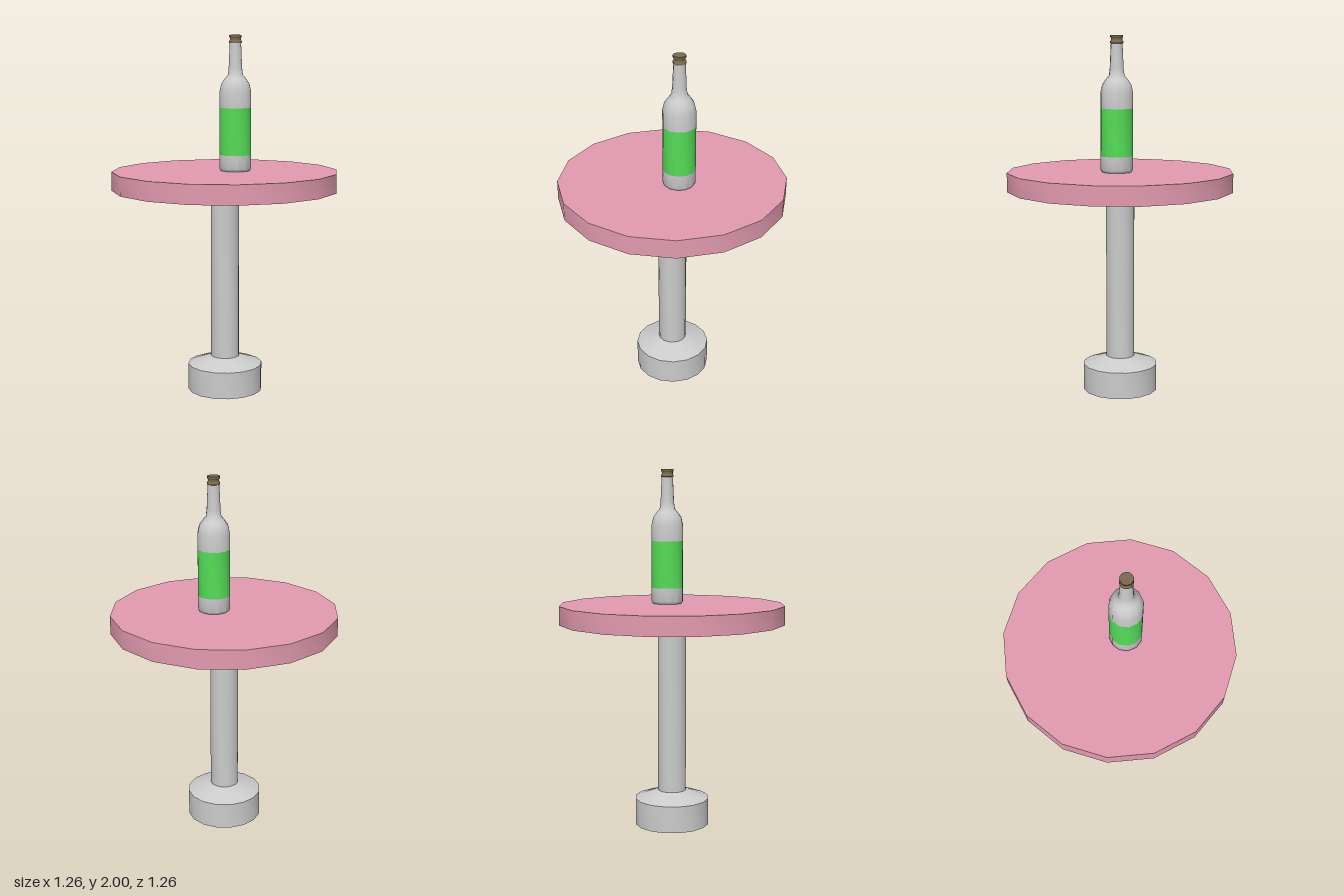
import * as THREE from 'three';
import { toCreasedNormals } from 'three/addons/utils/BufferGeometryUtils.js';

const material = (color) => new THREE.MeshStandardMaterial({ color, side: THREE.DoubleSide });
const grey = material(0xcccccc);
const pink = material(0xe39bb0);
const green = material(0x55dd58);
const brown = material(0x7a6b4e);

// Turned part from [radius, height] pairs, listed bottom to top
function turned(name, profile, sides, mat) {
  const points = profile.map(([r, y]) => new THREE.Vector2(r, y));
  const geometry = toCreasedNormals(new THREE.LatheGeometry(points, sides), 0.75);
  const mesh = new THREE.Mesh(geometry, mat);
  mesh.name = name;
  return mesh;
}

export function createModel() {
  const model = new THREE.Group();
  model.name = 'tableWithBottle';

  // Table: weighted foot, column and round top
  const table = new THREE.Group();
  table.name = 'table';
  table.add(
    turned('base', [[0, 0], [0.21, 0], [0.21, 0.15], [0.08, 0.195]], 16, grey),
    turned('column', [[0.08, 0.195], [0.08, 1.15]], 16, grey),
    turned('tableTop', [[0, 1.15], [0.63, 1.15], [0.63, 1.255], [0, 1.255]], 16, pink)
  );

  // Bottle standing slightly off centre
  const bottle = new THREE.Group();
  bottle.name = 'bottle';
  bottle.position.set(0.055, 0, -0.015);
  bottle.add(
    turned('bottleFoot', [[0, 1.256], [0.082, 1.256], [0.09, 1.268], [0.09, 1.345]], 12, grey),
    turned('label', [[0.09, 1.345], [0.09, 1.605]], 12, green),
    turned('shoulderAndNeck', [
      [0.09, 1.605], [0.09, 1.69], [0.08, 1.735], [0.06, 1.763],
      [0.043, 1.783], [0.038, 1.82], [0.032, 1.955]
    ], 12, grey),
    turned('cork', [
      [0.032, 1.955], [0.036, 1.957], [0.036, 1.966], [0.031, 1.972],
      [0.031, 1.984], [0.035, 1.989], [0.035, 2], [0, 2]
    ], 12, brown)
  );

  model.add(table, bottle);
  return model;
}
